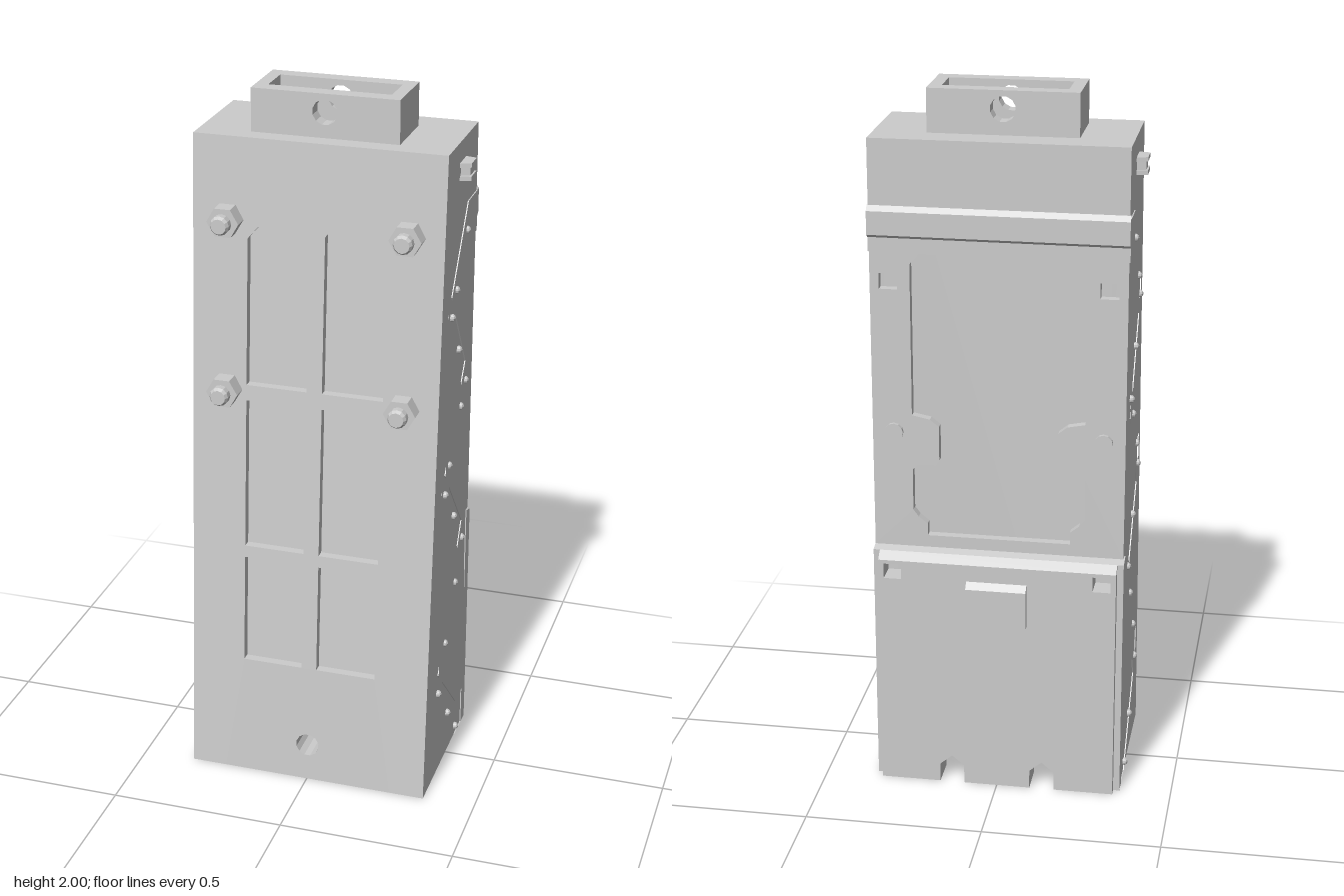
import * as THREE from 'three';

const material = new THREE.MeshStandardMaterial({ color: 0xcccccc, flatShading: true });
const W = 0.35;    // half width of the body
const IN = 0.25;   // half width of the inner cavity
const front = (y) => 0.255 - 0.0718 * y; // sloping front face
const both = [-1, 1];

const rect = (x0, y0, x1, y1) => [[x0, y0], [x1, y0], [x1, y1], [x0, y1]];
const circle = (x, y, r, n = 12) => Array.from({ length: n }, (_, i) => {
  const a = ((i + 0.5) / n) * Math.PI * 2;
  return [x + r * Math.cos(a), y + r * Math.sin(a)];
});
const vec = (pts) => pts.map(([x, y]) => new THREE.Vector2(x, y));

function extrude(pts, holes, depth) {
  const shape = new THREE.Shape(vec(pts));
  holes.forEach((h) => shape.holes.push(new THREE.Path(vec(h))));
  return new THREE.ExtrudeGeometry(shape, { depth, bevelEnabled: false });
}
// Plate drawn in x, y and extruded from z0 to z1
const plate = (pts, holes, z0, z1) => extrude(pts, holes, z1 - z0).translate(0, 0, z0);
// Plate drawn in z, y and extruded from x0 to x1
function sidePlate(pts, holes, x0, x1) {
  const flip = (p) => p.map(([z, y]) => [-z, y]);
  return extrude(flip(pts), holes.map(flip), x1 - x0).rotateY(Math.PI / 2).translate(x0, 0, 0);
}
const box = (x0, x1, y0, y1, z0, z1) => plate(rect(x0, y0, x1, y1), [], z0, z1);

// Move vertices by a rule
function warp(geometry, rule) {
  const p = geometry.attributes.position;
  for (let i = 0; i < p.count; i++) p.setXYZ(i, ...rule(p.getX(i), p.getY(i), p.getZ(i)));
  geometry.computeVertexNormals();
  return geometry;
}

export function createModel() {
  const model = new THREE.Group();
  const add = (name, geometry) => {
    const mesh = new THREE.Mesh(geometry, material);
    mesh.name = name;
    model.add(mesh);
    return mesh;
  };

  // Sloping front with six recessed panels and a drain hole
  const pockets = [];
  for (const s of both) {
    pockets.push(rect(s * 0.022, 0.355, s * 0.195, 0.675));
    pockets.push(rect(s * 0.022, 0.71, s * 0.195, 1.145));
    pockets.push([[0.022, 1.19], [0.195, 1.19], [0.195, 1.605], [0.165, 1.64], [0.03, 1.64], [0.022, 1.63]]
      .map(([x, y]) => [s * x, y]));
  }
  const drain = circle(0, 0.11, 0.034);
  add('frontFace', warp(plate(rect(-IN, 0, IN, 1.88), [...pockets, drain], -0.025, 0),
    (x, y, z) => [x, y, z + front(y)]));
  add('frontWall', warp(plate(rect(-IN, 0, IN, 1.85), [drain], 0, 1),
    (x, y, z) => [x, y, z > 0.5 ? front(y) - 0.025 : 0.09]));

  // Side walls with clip slots and a locating hole
  const profile = [[-0.175, 0], [front(0), 0], [front(1.88), 1.88], [-0.175, 1.88]];
  const slots = [[0.1, 1.42], [0.135, 0.925], [0.18, 0.29]].map(([z, y]) =>
    [[z - 0.025, y - 0.035], [z + 0.021, y - 0.035], [z + 0.023, y + 0.037], [z - 0.019, y + 0.037]]
      .map(([a, b]) => [2 * z - a, b]).reverse());
  const sideHoles = [...slots, circle(-0.005, 1.165, 0.028)];
  // Thin zigzag brace and its rivets
  const zigzag = [[-0.2, 1.63], [-0.1, 1.63], [0.06, 1.41], [-0.11, 1.16], [0.09, 0.895],
    [-0.115, 0.66], [0.115, 0.27], [-0.1, 0.06], [-0.2, 0.06]];
  const brace = [...zigzag.map(([z, y]) => [z, y + 0.058]),
    ...zigzag.slice().reverse().map(([z, y]) => [z, y - 0.058])];
  const rivets = [[-0.09, 1.61], [0.016, 1.475], [0.058, 1.41], [-0.026, 1.285], [-0.111, 1.16],
    [-0.063, 1.1], [0.053, 0.97], [0.09, 0.895], [-0.016, 0.78], [-0.116, 0.663],
    [-0.048, 0.55], [0.053, 0.403], [0.116, 0.27], [0, 0.138], [-0.1, 0.032]];
  for (const s of both) {
    const span = (a, b) => (s > 0 ? [a, b] : [-b, -a]);
    add('sideSkin', sidePlate(profile, sideHoles, ...span(0.315, W)));
    add('sideWall', sidePlate(profile, [], ...span(IN, 0.315)));
    add('sideBrace', sidePlate(brace, [], ...span(W - 0.002, 0.353)));
    for (const [z, y] of rivets) {
      add('rivet', new THREE.SphereGeometry(0.011, 8, 6).translate(s * 0.353, y, z));
    }
    // Tapered lug with thin flanges near the top
    const lug = (z0, z1, y0, y1, out) => warp(
      box(...span(W - 0.005, out), y0, y1, z0, z1),
      (x, y, z) => [x, y, Math.abs(x) > 0.36 ? -0.035 + (z + 0.035) * 0.78 : z]);
    add('sideLug', lug(-0.06, -0.01, 1.785, 1.813, 0.375));
    add('lugFlange', lug(-0.07, 0, 1.775, 1.787, 0.38));
    add('lugFlange', lug(-0.07, 0, 1.811, 1.823, 0.38));
  }

  // Back: recessed window with chamfered corners and side tabs
  const half = [[0.2, 0.755], [0.2, 0.79], [0.225, 0.81], [0.24, 0.83], [0.24, 0.95], [0.225, 0.965],
    [0.175, 0.965], [0.165, 0.98], [0.165, 1.08], [0.19, 1.1], [0.24, 1.11],
    [0.24, 1.54], [0.215, 1.57]];
  const windowShape = [...half, ...half.slice().reverse().map(([x, y]) => [-x, y])];
  const square = (x, y) => rect(x - 0.025, y - 0.022, x + 0.025, y + 0.022);
  add('backFrame', plate(rect(-W, 0.72, W, 1.88),
    [windowShape, ...both.map((s) => square(s * 0.3, 1.49))], -0.2, -0.175));

  // Lower back, with two gabled notches in the bottom edge
  const notched = (w, top) => {
    const notch = (x) => [[x + 0.035, 0], [x + 0.035, 0.055], [x, 0.085], [x - 0.035, 0.055], [x - 0.035, 0]];
    return [[-w, top], [w, top], [w, 0], ...notch(0.13), ...notch(-0.13), [-w, 0]];
  };
  const lowSlots = both.map((s) => square(s * 0.295, 0.655));
  add('backWall', plate(notched(IN, 1.85), [], -0.175, -0.15));
  add('lowerBack', warp(plate(notched(0.353, 0.72), lowSlots, -0.215, -0.175),
    (x, y, z) => [x, z < -0.2 && y > 0.7 ? 0.708 : y, z]));
  add('lowerPanel', warp(plate(notched(0.335, 0.708), lowSlots, -0.24, -0.215),
    (x, y, z) => [x, z < -0.23 && y > 0.7 ? 0.688 : y, z]));

  // Handle with a notched lower edge
  add('handle', warp(plate([[-0.085, 0.51], [-0.055, 0.51], [-0.04, 0.535], [0.04, 0.535],
    [0.055, 0.51], [0.085, 0.51], [0.085, 0.64], [-0.085, 0.64]], [], -0.258, -0.239),
  (x, y, z) => [x, z < -0.25 && y > 0.6 ? 0.622 : y, z]));

  // Cross strip above the window
  add('backStrip', sidePlate([[-0.199, 1.7], [-0.213, 1.685], [-0.213, 1.62], [-0.199, 1.61]], [], -0.353, 0.353));
  for (const s of both) {
    add('backButton', new THREE.CylinderGeometry(0.026, 0.026, 0.014, 12)
      .rotateX(Math.PI / 2).translate(s * 0.29, 1.06, -0.203));
  }

  // Top plate and hollow neck, open through to the base
  const ring = extrude(rect(-IN, -0.0951, IN, 0.175), [rect(-0.17, -0.025, 0.17, 0.075)], 0.03);
  add('topPlate', ring.rotateX(-Math.PI / 2).translate(0, 1.85, 0));
  const neckHole = circle(0, 1.95, 0.035);
  add('neckFront', plate(rect(-0.205, 1.88, 0.205, 2), [neckHole], 0.025, 0.068));
  add('neckBack', plate(rect(-0.205, 1.88, 0.205, 2), [neckHole], -0.117, -0.075));
  add('neckSide', box(0.17, 0.205, 1.88, 2, -0.075, 0.025));
  add('neckSide', box(-0.205, -0.17, 1.88, 2, -0.075, 0.025));

  // Four hex nuts with studs on the front
  const stud = [[0.018, 0], [0.018, 0.04], [0.027, 0.047], [0.027, 0.066], [0.021, 0.075], [0, 0.075]];
  for (const s of both) for (const y of [1.175, 1.655]) {
    const bolt = new THREE.Group();
    bolt.name = 'bolt';
    const nut = new THREE.Mesh(new THREE.CylinderGeometry(0.045, 0.045, 0.05, 6)
      .rotateY(Math.PI / 6).rotateX(Math.PI / 2).translate(0, 0, 0.018), material);
    nut.name = 'nut';
    const pin = new THREE.Mesh(new THREE.LatheGeometry(vec(stud), 12).rotateX(Math.PI / 2), material);
    pin.name = 'stud';
    bolt.add(nut, pin);
    bolt.position.set(s * 0.252, y, front(y));
    model.add(bolt);
  }
  return model;
}
